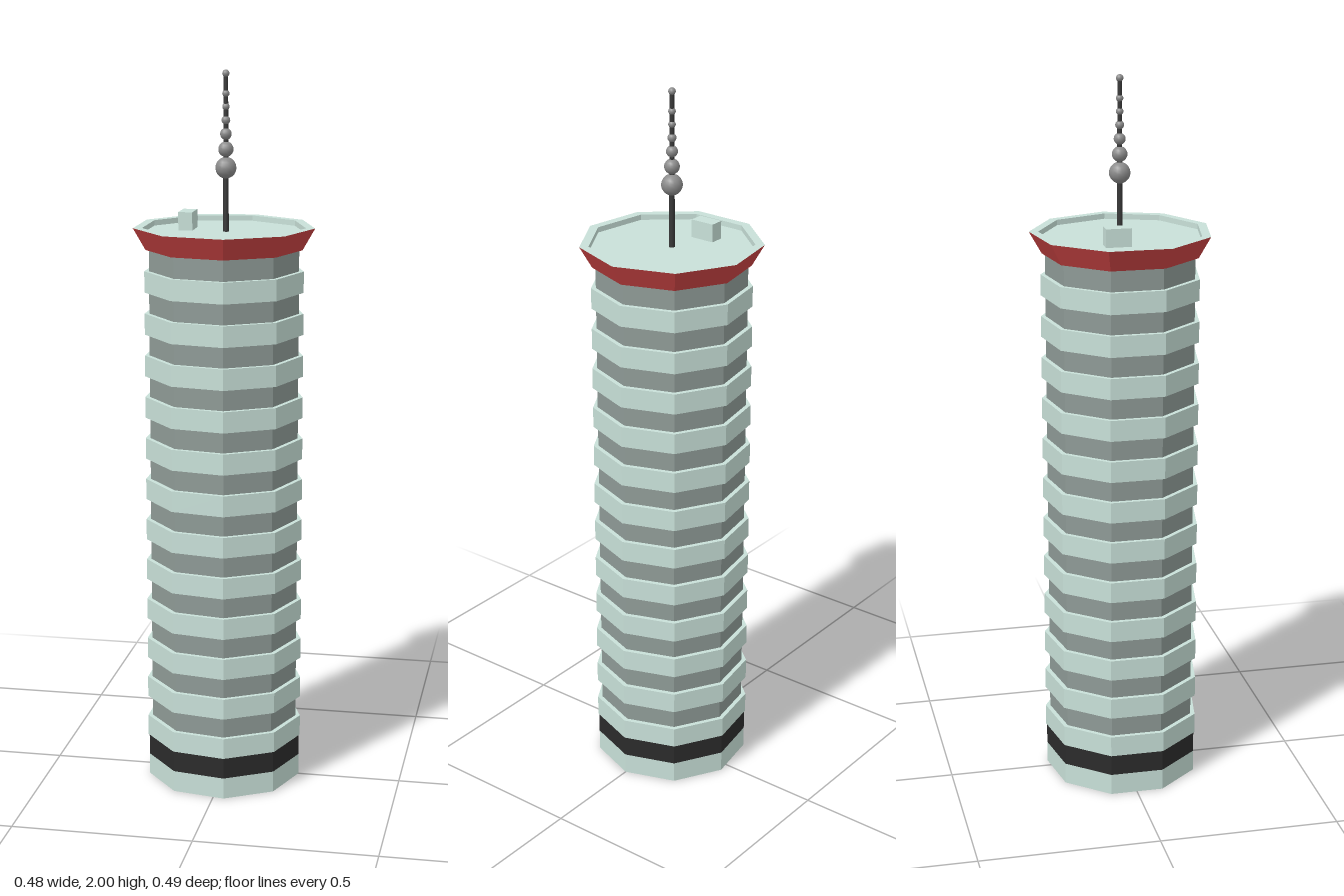
import * as THREE from 'three';

const SIDES = 9;
const CENTRE_X = -0.0075; // a nonagon's bounding box is not centred on its axis

const material = (color, flatShading = true) => new THREE.MeshStandardMaterial({ color, flatShading });

export function createModel() {
  const model = new THREE.Group();
  model.name = 'tower';

  const pale = material(0xc8e0d8);
  const shaded = material(0x8e9a96);
  const black = material(0x2b2b2b);
  const red = material(0xcc4444);
  const darkMetal = material(0x383838, false);
  const lightMetal = material(0x8c8c8c, false);

  const add = (name, geometry, mat, x = 0, y = 0, z = 0) => {
    const mesh = new THREE.Mesh(geometry, mat);
    mesh.name = name;
    mesh.position.set(x, y, z);
    model.add(mesh);
    return mesh;
  };

  // One nine-sided storey with a corner pointing to +x
  const storey = (name, y0, y1, rBottom, rTop, mat, open = false) =>
    add(name, new THREE.CylinderGeometry(rTop, rBottom, y1 - y0, SIDES, 1, open, Math.PI / 2),
      mat, CENTRE_X, (y0 + y1) / 2);

  // Ground floor and dark belt
  storey('base', 0, 0.06, 0.217, 0.217, pale);
  storey('darkBelt', 0.06, 0.12, 0.217, 0.217, black);

  // Alternating projecting slabs and recessed window bands
  const bandStart = 0.12, bandEnd = 1.52, floors = 12;
  const h = (bandEnd - bandStart) / floors / 2;
  for (let i = 0; i < floors; i++) {
    const y = bandStart + i * 2 * h;
    storey('slab' + (i + 1), y, y + h, 0.22, 0.22, pale);
    storey('windowBand' + (i + 1), y + h, y + 2 * h, 0.207, 0.207, shaded);
  }

  // Flared red crown, closed underneath by a thin sheet
  storey('crown', 1.52, 1.58, 0.216, 0.25, red, true);
  storey('crownUnderside', 1.52, 1.522, 0.216, 0.216, red);

  // Roof: parapet rim, its inner wall and the sunken deck
  const roofProfile = [[0.25, 1.58], [0.225, 1.58], [0.225, 1.565], [0, 1.565]]
    .map(([r, y]) => new THREE.Vector2(r, y));
  add('roof', new THREE.LatheGeometry(roofProfile, SIDES, Math.PI / 2), pale, CENTRE_X);
  add('roofHut', new THREE.BoxGeometry(0.039, 0.05, 0.07), pale, -0.1155, 1.59, -0.035);

  // Antenna mast strung with shrinking balls
  const mastX = -0.0035, mastZ = -0.0045;
  add('mast', new THREE.CylinderGeometry(0.006, 0.008, 0.425, 10), darkMetal, mastX, 1.7775, mastZ);
  const balls = [[1.738, 0.029], [1.788, 0.021], [1.829, 0.016], [1.866, 0.012],
    [1.902, 0.01], [1.937, 0.01], [1.99, 0.01]];
  balls.forEach(([y, r], i) =>
    add('mastBall' + (i + 1), new THREE.SphereGeometry(r, 14, 10), lightMetal, mastX, y, mastZ));

  return model;
}
